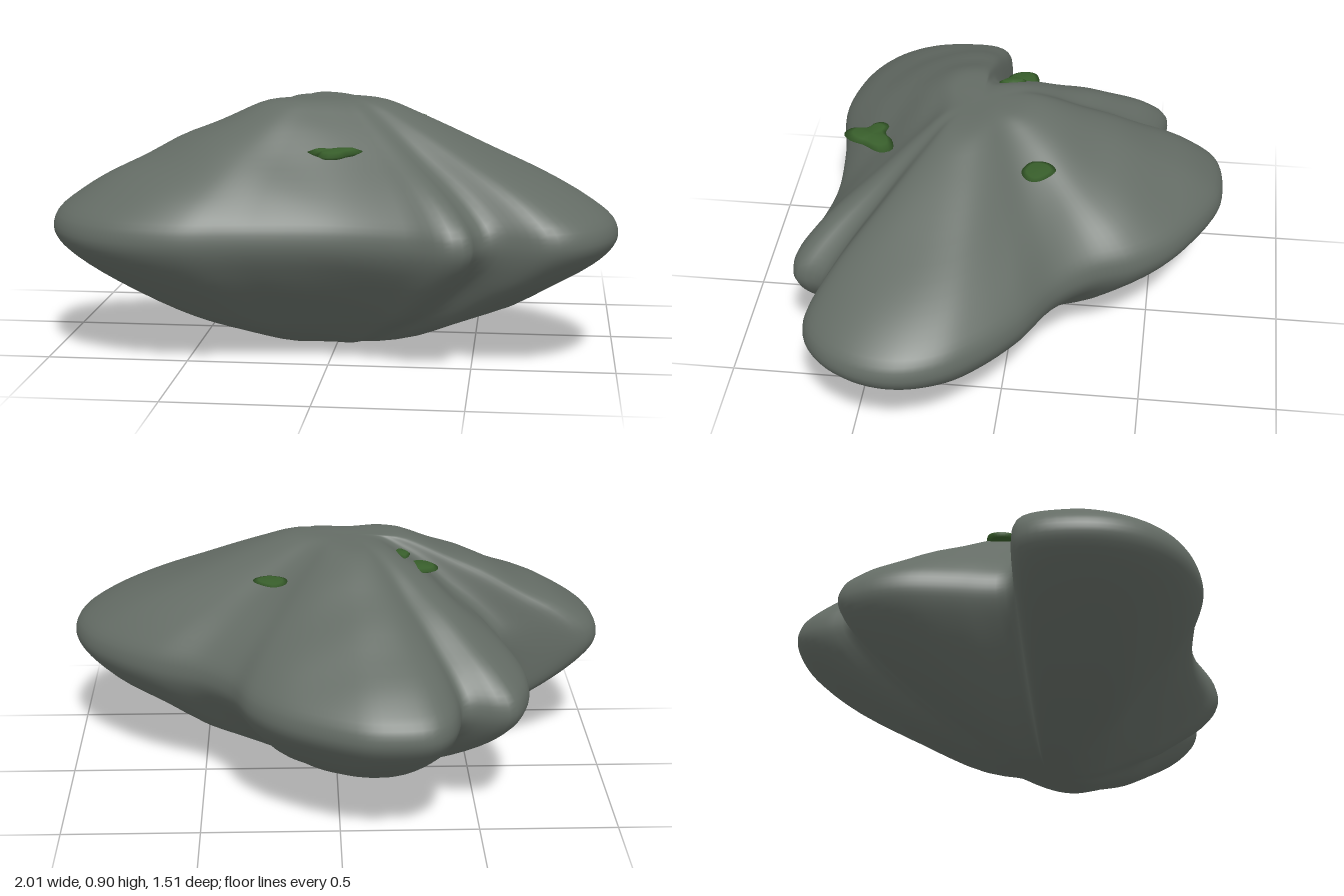
import * as THREE from 'three';

const stone = new THREE.MeshStandardMaterial({ color: 0x646c65 });
stone.name = 'stone grey';
const mossGreen = new THREE.MeshStandardMaterial({ color: 0x385e2b });
mossGreen.name = 'moss green';

// Smooth closed ring through [x, z] points
function smoothRing(points, count) {
  const curve = new THREE.CatmullRomCurve3(points.map(([x, z]) => new THREE.Vector3(x, 0, z)), true, 'centripetal');
  return curve.getSpacedPoints(count).slice(0, count);
}

// Joins rings (bottom to top) of equal length into a closed skin
function loft(rings) {
  const n = rings[0].length, index = [];
  for (let i = 0; i < rings.length - 1; i++) {
    for (let j = 0; j < n; j++) {
      const k = (j + 1) % n;
      const a = i * n + j, b = i * n + k, c = a + n, d = b + n;
      if (i > 0) index.push(a, c, b);
      else index.push(a, c, d);
      if (i > 0 && i < rings.length - 2) index.push(b, c, d);
    }
  }
  const geo = new THREE.BufferGeometry().setFromPoints(rings.flat());
  geo.setIndex(index);
  geo.computeVertexNormals();
  return geo;
}

// Three-lobed waistline of the boulder
const waist = [
  [1, 0.3], [0.98, 0.45], [0.9, 0.58], [0.78, 0.65], [0.56, 0.62], [0.52, 0.66], [0.5, 0.73], [0.44, 0.75],
  [0.3, 0.71], [0.05, 0.67], [-0.25, 0.69], [-0.5, 0.73], [-0.75, 0.68], [-0.9, 0.58], [-0.99, 0.42],
  [-1, 0.2], [-0.95, 0.13], [-0.62, 0.08], [-0.62, 0], [-0.65, -0.12], [-0.68, -0.3], [-0.66, -0.43],
  [-0.6, -0.53], [-0.43, -0.52], [-0.41, -0.6], [-0.38, -0.68], [-0.32, -0.74], [-0.15, -0.76],
  [-0.05, -0.74], [0.2, -0.6], [0.32, -0.47], [0.39, -0.32], [0.5, -0.2], [0.7, -0.09], [0.85, 0.03], [0.95, 0.15],
];

// Side profile: [share of the waist radius, height]
const profile = [
  [0, 0], [0.1, 0.004], [0.22, 0.02], [0.42, 0.085], [0.6, 0.165], [0.8, 0.275], [0.93, 0.365], [0.985, 0.42],
  [1, 0.46], [0.985, 0.51], [0.92, 0.565], [0.8, 0.635], [0.62, 0.72], [0.45, 0.8], [0.33, 0.85],
  [0.22, 0.89], [0.13, 0.9], [0, 0.9],
];

function boulderGeometry() {
  const count = 180;
  const centre = new THREE.Vector3(-0.04, 0, 0.13);
  const edge = smoothRing(waist, count);
  // Softened waistline used near the crown and the base
  let soft = edge;
  for (let pass = 0; pass < 14; pass++) {
    soft = soft.map((p, j) => p.clone().multiplyScalar(2)
      .add(soft[(j + 1) % count]).add(soft[(j + count - 1) % count]).multiplyScalar(0.25));
  }
  const path = new THREE.CatmullRomCurve3(profile.map(([s, y]) => new THREE.Vector3(s, y, 0)), false, 'centripetal');
  const rings = path.getPoints(51).map(({ x: s, y }) => edge.map((p, j) => {
    const blend = THREE.MathUtils.smoothstep(s, 0.2, 0.9);
    const q = soft[j].clone().lerp(p, blend).sub(centre).multiplyScalar(s).add(centre);
    // Gentle weathered lumps that fade at the waist and poles
    const lump = 0.007 * Math.sin(11 * q.x + 3 * q.z + 14 * y) * Math.sin(13 * q.z - 4 * q.x) * 4 * s * (1 - s);
    q.y = Math.max(0, y + lump);
    return q;
  }));
  return loft(rings);
}

// Lens-shaped leafy pad with a flat outline
function mossPad(name, outline, y, thickness) {
  const ring = smoothRing(outline, 32);
  const mid = ring.reduce((sum, p) => sum.add(p), new THREE.Vector3()).divideScalar(ring.length);
  const layers = [[0, -0.5], [0.7, -0.4], [1, 0], [0.7, 0.4], [0, 0.5]];
  const rings = layers.map(([s, h]) => ring.map((p) => {
    const q = mid.clone().lerp(p, s);
    q.y = y + h * thickness;
    return q;
  }));
  const mesh = new THREE.Mesh(loft(rings), mossGreen);
  mesh.name = name;
  return mesh;
}

export function createModel() {
  const model = new THREE.Group();
  model.name = 'mossyBoulder';

  const boulder = new THREE.Mesh(boulderGeometry(), stone);
  boulder.name = 'boulder';
  model.add(boulder);

  // Moss patches
  model.add(
    mossPad('frontMoss', [[-0.07, 0.5], [-0.05, 0.475], [0, 0.48], [0.04, 0.45], [0.1, 0.44], [0.12, 0.48],
      [0.08, 0.55], [0.06, 0.6], [0.02, 0.63], [-0.02, 0.61], [-0.03, 0.55], [-0.06, 0.53]], 0.755, 0.03),
    mossPad('leftMoss', [[0.18, -0.1], [0.19, -0.14], [0.23, -0.165], [0.3, -0.11], [0.3, -0.075],
      [0.25, -0.045], [0.19, -0.07]], 0.806, 0.012),
    mossPad('rightMoss', [[-0.37, 0.01], [-0.36, -0.035], [-0.28, -0.05], [-0.25, 0], [-0.26, 0.055],
      [-0.31, 0.07], [-0.35, 0.05]], 0.815, 0.025),
    mossPad('rightMossTuft', [[-0.27, 0.04], [-0.25, -0.01], [-0.21, 0.04], [-0.23, 0.09], [-0.26, 0.06]], 0.855, 0.02),
  );
  return model;
}
